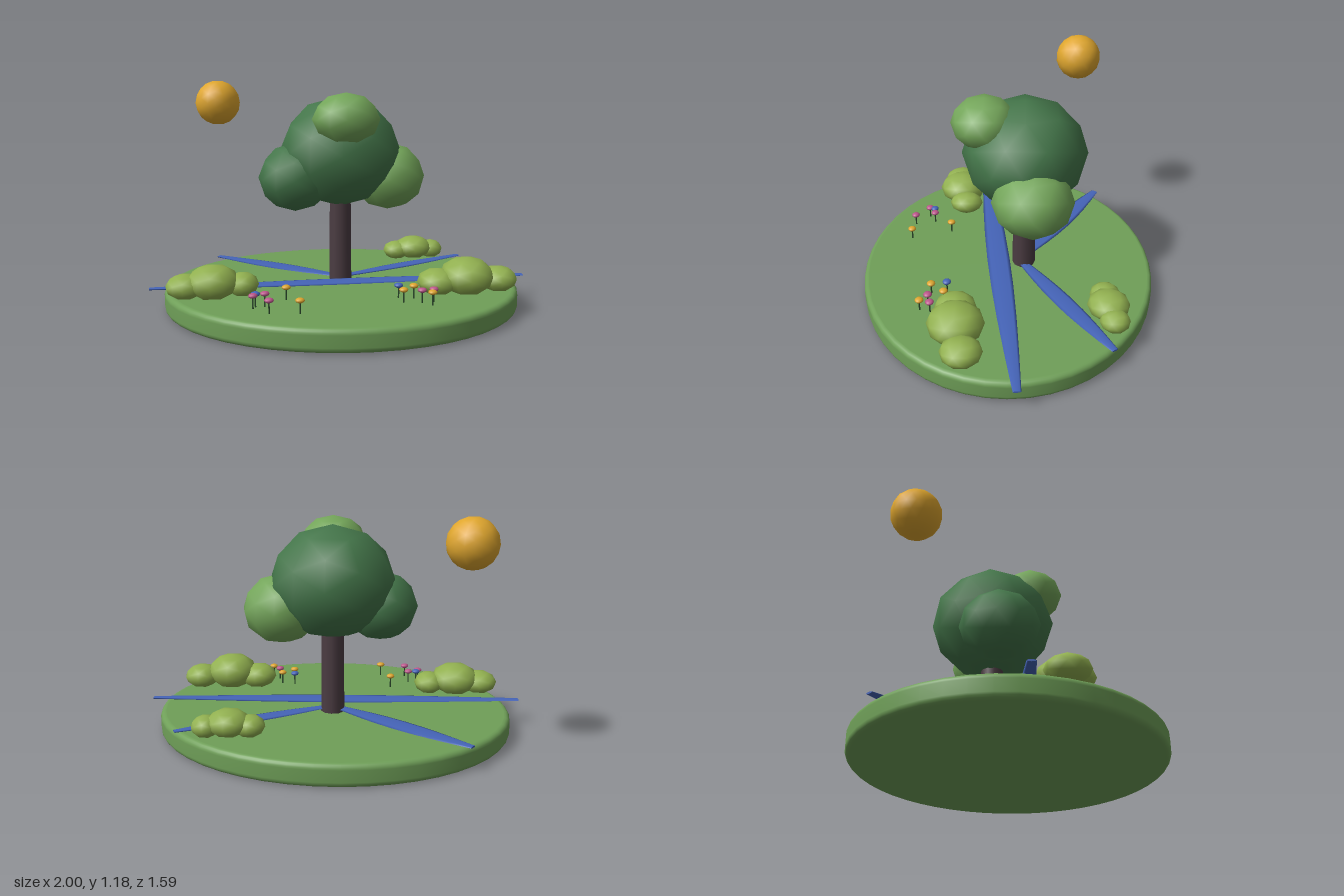
import * as THREE from 'three';

const paint = (name, color) => {
  const m = new THREE.MeshStandardMaterial({ color });
  m.name = name;
  return m;
};

export function createModel() {
  const model = new THREE.Group();
  const mats = {
    grass: paint('grass green', 0x6f9f58),
    dark: paint('dark leaf green', 0x44764a),
    light: paint('light leaf green', 0x74a65a),
    bush: paint('bush green', 0x92b150),
    bark: paint('bark brown', 0x4b3c42),
    water: paint('water blue', 0x4564b8),
    gold: paint('golden yellow', 0xdfa62e),
    pink: paint('petal pink', 0xbd568c),
    stem: paint('stem green', 0x2c4a2c),
  };

  const add = (name, geometry, material, x, y, z, parent = model) => {
    const mesh = new THREE.Mesh(geometry, material);
    mesh.name = name;
    mesh.position.set(x, y, z);
    parent.add(mesh);
    return mesh;
  };
  const group = (name) => {
    const g = new THREE.Group();
    g.name = name;
    model.add(g);
    return g;
  };
  // Low-poly ball stretched to three radii
  const blob = (rx, ry, rz, detail = 1) => new THREE.IcosahedronGeometry(1, detail).scale(rx, ry, rz);

  // Oval island with a rounded rim
  const R = 0.937, H = 0.115, B = 0.028;
  const rim = [new THREE.Vector2(0, 0), new THREE.Vector2(R - B - 0.002, 0)];
  for (let i = 0; i <= 10; i++) {
    const a = (i < 5 ? i - 4 : i - 6) * Math.PI / 8;
    const upper = i >= 5;
    const t = upper ? (i - 5) / 5 * Math.PI / 2 : a;
    rim.push(new THREE.Vector2(R - B + B * Math.cos(t), (upper ? H - B : B) + B * Math.sin(t)));
  }
  rim.push(new THREE.Vector2(R - B - 0.002, H), new THREE.Vector2(0, H));
  add('island', new THREE.LatheGeometry(rim, 48), mats.grass, 0, 0, 0).scale.z = 0.85;

  // Tree
  const tree = group('tree');
  add('trunk', new THREE.CylinderGeometry(0.058, 0.063, 0.52, 10), mats.bark, -0.003, 0.37, -0.088, tree);
  add('mainCrown', blob(0.327, 0.295, 0.327), mats.dark, -0.003, 0.81, -0.088, tree);
  add('rightCrown', blob(0.195, 0.182, 0.21), mats.dark, -0.245, 0.68, -0.03, tree);
  add('leftCrown', blob(0.2, 0.182, 0.21), mats.light, 0.258, 0.672, -0.125, tree);
  add('frontCrown', blob(0.175, 0.135, 0.17), mats.light, 0.018, 0.995, 0.12, tree);

  // Sun
  add('sun', blob(0.125, 0.125, 0.125, 2), mats.gold, -0.685, 1.06, -0.4);

  // Bushes: x, y, z, then the three radii of each lobe
  const bushes = {
    rightBush: [
      [-0.79, 0.18, 0.295, 0.1, 0.063, 0.105],
      [-0.655, 0.198, 0.283, 0.132, 0.088, 0.138],
      [-0.51, 0.178, 0.256, 0.082, 0.06, 0.098],
    ],
    leftBush: [
      [0.475, 0.182, 0.265, 0.105, 0.068, 0.108],
      [0.625, 0.208, 0.255, 0.138, 0.098, 0.145],
      [0.795, 0.182, 0.22, 0.098, 0.066, 0.105],
    ],
    backBush: [
      [0.355, 0.17, -0.505, 0.078, 0.055, 0.08],
      [0.457, 0.185, -0.513, 0.108, 0.068, 0.11],
      [0.565, 0.17, -0.535, 0.072, 0.055, 0.078],
    ],
  };
  for (const [name, lobes] of Object.entries(bushes)) {
    const g = group(name);
    for (const [x, y, z, ...r] of lobes) add('bushLobe', blob(...r), mats.bush, x, y, z, g);
  }

  // Streams: thin strips that swell in the middle
  const stream = (name, x0, z0, x1, z1, endWidth, midWidth) => {
    const dx = x1 - x0, dz = z1 - z0, length = Math.hypot(dx, dz);
    const geometry = new THREE.CylinderGeometry(1, 1, length, 8, 8);
    const p = geometry.attributes.position;
    for (let i = 0; i < p.count; i++) {
      const swell = Math.sin((p.getY(i) / length + 0.5) * Math.PI);
      p.setX(i, p.getX(i) * (endWidth + (midWidth - endWidth) * swell) / 2);
      p.setZ(i, p.getZ(i) * 0.005);
    }
    geometry.rotateX(Math.PI / 2);
    geometry.computeVertexNormals();
    add(name, geometry, mats.water, (x0 + x1) / 2, 0.129, (z0 + z1) / 2).rotation.y = Math.atan2(dx, dz);
  };
  stream('mainStream', -0.998, 0.152, 0.998, -0.045, 0.04, 0.125);
  stream('backRightStream', -0.715, -0.55, 0, -0.06, 0.04, 0.12);
  stream('backLeftStream', 0.73, -0.52, 0, -0.06, 0.035, 0.1);

  // Flowers: colour, then x and z
  const flowers = [
    ['gold', -0.29, 0.335], ['gold', -0.22, 0.56], ['gold', 0.345, 0.335],
    ['gold', 0.285, 0.405], ['gold', 0.42, 0.455],
    ['pink', -0.39, 0.44], ['pink', -0.445, 0.475], ['pink', -0.365, 0.553],
    ['pink', 0.375, 0.415], ['pink', 0.435, 0.4],
    ['water', -0.435, 0.445], ['water', 0.27, 0.323],
  ];
  const bed = group('flowers');
  for (const [color, x, z] of flowers) {
    add('flowerStem', new THREE.CylinderGeometry(0.004, 0.004, 0.065, 6), mats.stem, x, 0.145, z, bed);
    add('flowerHead', blob(0.023, 0.013, 0.023), mats[color], x, 0.18, z, bed);
  }
  return model;
}
